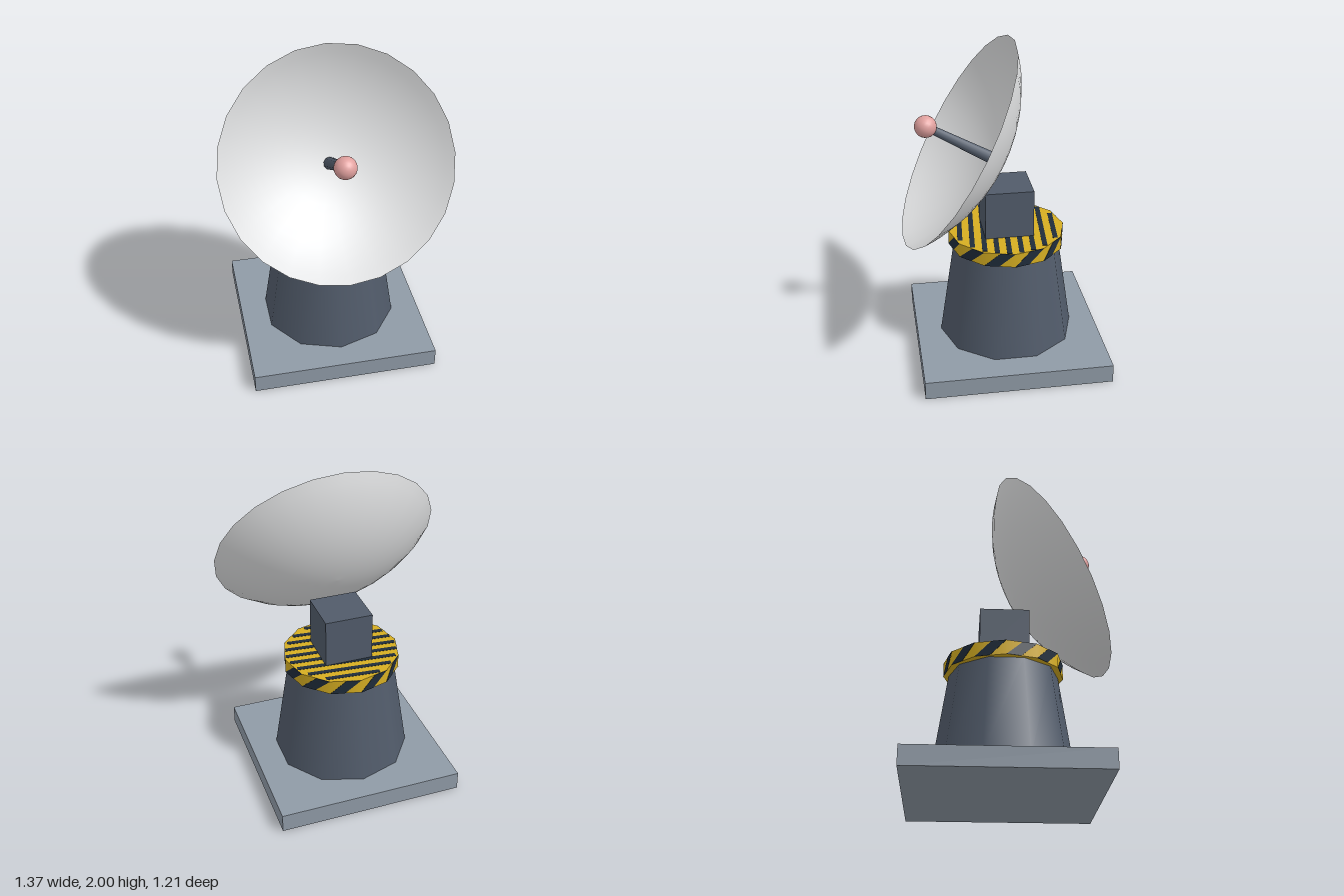
import * as THREE from 'three';

const material = (name, color, side = THREE.FrontSide) => {
  const m = new THREE.MeshStandardMaterial({ color, side });
  m.name = name;
  return m;
};

export function createModel() {
  const model = new THREE.Group();
  model.name = 'dishStation';

  const stone = material('blue grey', 0x8f9aa6);
  const slate = material('slate', 0x515b6a);
  const yellow = material('hazard yellow', 0xd6ae22);
  const dark = material('hazard dark', 0x1f2c3a);
  const white = material('dish white', 0xdfe0e1, THREE.DoubleSide);
  const pink = material('receiver pink', 0xe0a09e);

  const add = (parent, name, geometry, mat, x = 0, y = 0, z = 0) => {
    const mesh = new THREE.Mesh(geometry, mat);
    mesh.name = name;
    mesh.position.set(x, y, z);
    parent.add(mesh);
    return mesh;
  };

  // Pedestal: everything here shares one vertical axis
  const pedestal = new THREE.Group();
  pedestal.name = 'pedestal';
  pedestal.position.z = -0.033;
  model.add(pedestal);
  add(pedestal, 'basePlate', new THREE.BoxGeometry(1.143, 0.115, 1.143), stone, 0, 0.0575);
  add(pedestal, 'tower', new THREE.CylinderGeometry(0.327, 0.42, 0.615, 10), slate, 0, 0.4225);
  add(pedestal, 'mountBlock', new THREE.BoxGeometry(0.295, 0.295, 0.295), slate, 0, 0.9675);

  // Hazard collar with twelve flat sides
  const ringR = 0.357, ringH = 0.087, sides = 12;
  const collar = new THREE.Group();
  collar.name = 'hazardCollar';
  collar.position.y = 0.73;
  pedestal.add(collar);
  add(collar, 'collarRing', new THREE.CylinderGeometry(ringR, ringR, ringH, sides), yellow, 0, ringH / 2);

  // One slanted stripe on each side of the collar
  const half = ringR * Math.sin(Math.PI / sides);
  const apothem = ringR * Math.cos(Math.PI / sides);
  const slant = new THREE.Shape([
    new THREE.Vector2(-half, 0),
    new THREE.Vector2(-half * 0.05, 0),
    new THREE.Vector2(half, ringH),
    new THREE.Vector2(half * 0.05, ringH),
  ]);
  const slantGeometry = new THREE.ExtrudeGeometry(slant, { depth: 0.003, bevelEnabled: false });
  slantGeometry.translate(0, 0, apothem - 0.001);
  for (let i = 0; i < sides; i++) {
    add(collar, 'sideStripe', slantGeometry, dark).rotation.y = ((i + 0.5) * 2 * Math.PI) / sides;
  }

  // Parallel stripes across the collar top
  const topStripes = new THREE.Group();
  topStripes.name = 'topStripes';
  topStripes.rotation.y = -0.09;
  collar.add(topStripes);
  const stripeW = 0.03;
  for (let i = -4; i <= 4; i++) {
    const z = i * 0.072;
    const reach = Math.abs(z) + stripeW / 2;
    const width = 2 * Math.sqrt(apothem * apothem - reach * reach);
    add(topStripes, 'topStripe', new THREE.BoxGeometry(width, 0.003, stripeW), dark, 0, ringH, z);
  }

  // Dish assembly: local +y is the aiming axis, raised 30 degrees
  const dish = new THREE.Group();
  dish.name = 'dishAssembly';
  dish.position.set(0, 1.269, 0.0255);
  dish.rotation.x = Math.PI / 3;
  model.add(dish);

  // Shallow spherical bowl
  const radius = 1.0, spread = Math.asin(0.687);
  const profile = [];
  for (let i = 0; i <= 12; i++) {
    const a = (spread * i) / 12;
    profile.push(new THREE.Vector2(radius * Math.sin(a), radius * (1 - Math.cos(a))));
  }
  add(dish, 'bowl', new THREE.LatheGeometry(profile, 24), white);

  // Tapered feed arm and receiver ball
  add(dish, 'feedArm', new THREE.CylinderGeometry(0.025, 0.039, 0.46, 10), slate, 0, 0.235);
  add(dish, 'receiver', new THREE.SphereGeometry(0.066, 20, 14), pink, 0, 0.48);

  return model;
}
